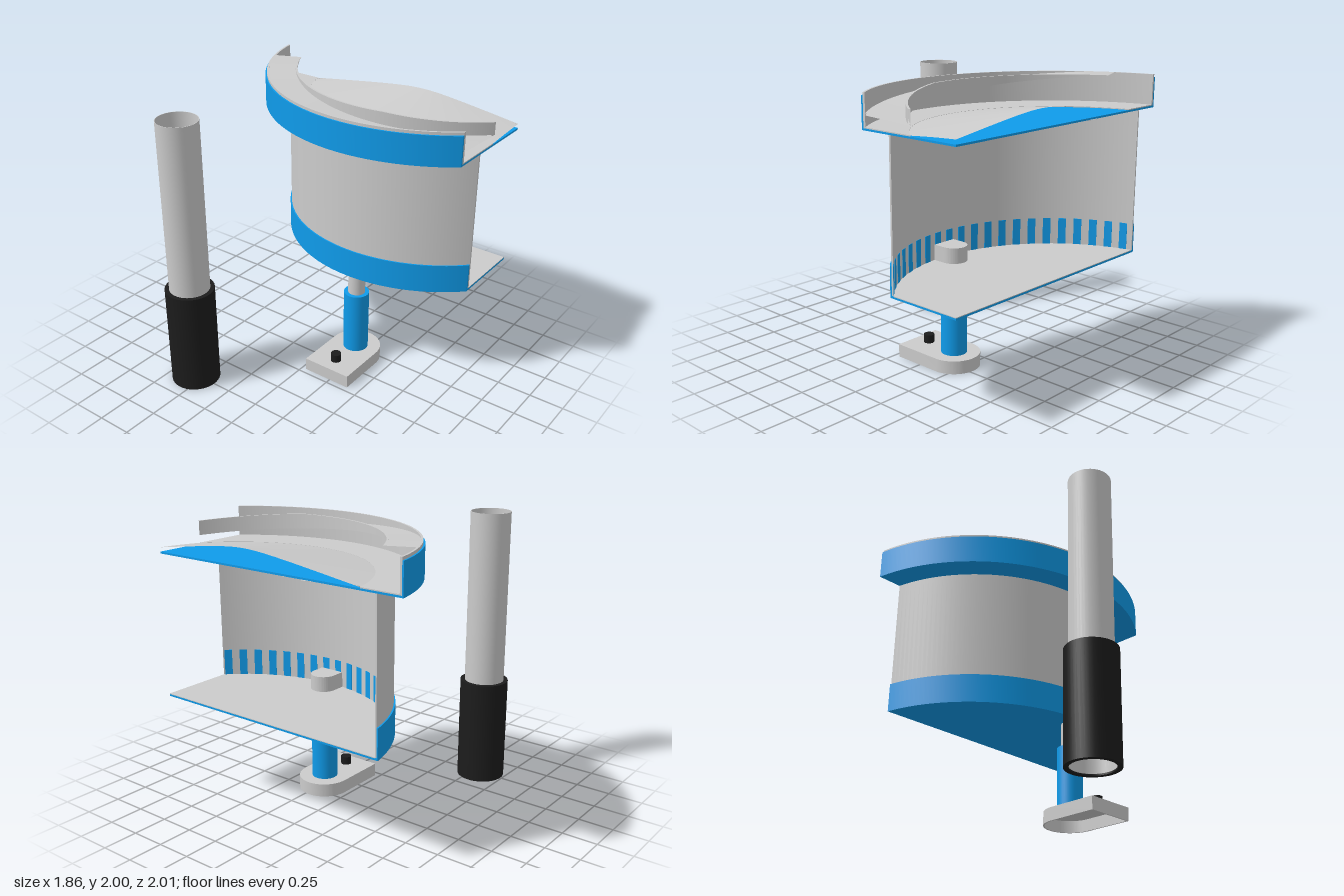
import * as THREE from 'three';
import { toCreasedNormals } from 'three/addons/utils/BufferGeometryUtils.js';
import { ParametricGeometry } from 'three/addons/geometries/ParametricGeometry.js';

// The tank is a round vessel about (CX, CZ), cut away by the planes x = XMAX, z = ZMAX, y = YMAX.
const CX = 1.12, CZ = 0.23, XMAX = 0.92, ZMAX = 1, YMAX = 2;
const DX = CX - XMAX, DZ = ZMAX - CZ, DEG = Math.PI / 180;

const paint = (color) => new THREE.MeshStandardMaterial({ color, side: THREE.DoubleSide });
const grey = paint(0xcccccc), blue = paint(0x0f9bea), black = paint(0x1c1c1c);

// Angles run from -x (0) towards -z (positive) and +z (negative).
const aMin = (r) => -Math.asin(Math.min(1, DZ / r));
const aMax = (r) => Math.acos(Math.min(1, DX / r));
const at = (r, a) => new THREE.Vector2(CX - r * Math.cos(a), -(CZ - r * Math.sin(a)));

function arc(r, a0 = aMin(r), a1 = aMax(r), n = 64) {
  return Array.from({ length: n + 1 }, (_, i) => at(r, a0 + (a1 - a0) * i / n));
}

export function createModel() {
  const model = new THREE.Group();

  const add = (name, geometry, material, parent = model) => {
    const mesh = new THREE.Mesh(geometry, material);
    mesh.name = name;
    parent.add(mesh);
    return mesh;
  };

  // Plan outline raised from y0 to y1
  const slab = (name, shape, y0, y1, material, parent) => {
    const g = new THREE.ExtrudeGeometry(shape, { depth: y1 - y0, bevelEnabled: false, curveSegments: 32 });
    g.rotateX(-Math.PI / 2).translate(0, y0, 0);
    return add(name, toCreasedNormals(g, 0.5), material, parent);
  };
  const ring = (rIn, rOut) => new THREE.Shape([...arc(rOut), ...arc(rIn).reverse()]);
  const disc = (r) => new THREE.Shape([...arc(r), new THREE.Vector2(XMAX, -ZMAX)]);

  // Surface given by radius and height over angle (u) and a second parameter (v)
  const surface = (name, a0, a1, radius, height, nv, parent) =>
    add(name, new ParametricGeometry((u, v, target) => {
      const a = a0 + (a1 - a0) * u, r = radius(a, v), p = at(r, a);
      target.set(p.x, height(a, r, v), -p.y);
    }, 96, nv), grey, parent);

  const cyl = (name, x, z, r, y0, y1, material) => {
    const mesh = add(name, new THREE.CylinderGeometry(r, r, y1 - y0, 40), material);
    mesh.position.set(x, (y0 + y1) / 2, z);
  };

  // Lower pan, tank wall and the blue stripes showing inside it
  const tank = new THREE.Group();
  tank.name = 'tank';
  model.add(tank);
  slab('panBottom', disc(1.08), 0.752, 0.765, blue, tank);
  slab('panFloor', disc(1.06), 0.765, 0.77, grey, tank);
  slab('panBand', ring(1.07, 1.08), 0.765, 0.96, blue, tank);
  slab('tankWall', ring(1.06, 1.07), 0.77, 1.77, grey, tank);
  for (let a = aMin(1.06) + 0.01; a < aMax(1.06) - 0.05; a += 6 * DEG) {
    const stripe = new THREE.Shape([...arc(1.061, a, a + 3 * DEG, 3), ...arc(1.057, a, a + 3 * DEG, 3).reverse()]);
    slab('panStripe', stripe, 0.77, 0.96, blue, tank);
  }

  // Lid plate, rim and flat channel bed
  const lid = new THREE.Group();
  lid.name = 'lid';
  model.add(lid);
  slab('lidPlate', disc(1.247), 1.77, 1.783, blue, lid);
  slab('rimBand', ring(1.236, 1.247), 1.783, 1.98, blue, lid);
  slab('rimWall', ring(1.222, 1.236), 1.783, YMAX, grey, lid);
  slab('channelBed', ring(0.95, 1.222), 1.783, 1.79, grey, lid);

  // Grey rays on the underside of the lid
  for (let i = 0; i < 12; i++) {
    const a = (-38 + i * 9.5) * DEG;
    const rIn = DX / Math.cos(a) + 0.01;
    const rOut = Math.min(1.0, a < 0 ? DZ / Math.sin(-a) - 0.08 : 1.0);
    const ray = new THREE.Shape([at(rIn, a), at(rOut, a), at(rOut, a + 4 * DEG), at(rIn + 0.03, a + 4 * DEG)]);
    slab('undersideRay', ray, 1.768, 1.7705, grey, lid);
  }

  // Hollow cone over the lid plate
  const coneR = 0.955;
  const edge = (a, r) => (a < 0 ? Math.min(r, DZ / Math.sin(-a)) : r);
  surface('cone', -Math.atan(DZ / DX), aMax(coneR),
    (a, v) => THREE.MathUtils.lerp(DX / Math.cos(a), edge(a, coneR), v),
    (a, r) => 1.788 + (coneR - r) * 0.15, 16, lid);

  // Spiral trough climbing until it is cut off at the top
  const start = -54 * DEG, floorEnd = 58 * DEG, baseEnd = 67.5 * DEG;
  const slope = 0.145 / (floorEnd - start);
  const floorY = (a) => 1.855 + slope * (a - start);
  const innerR = (a) => 0.982 + 0.0006 * a / DEG;
  const across = (a, v) => THREE.MathUtils.lerp(innerR(a), edge(a, 1.222), v);
  const thick = slope * (baseEnd - floorEnd);
  const trough = new THREE.Group();
  trough.name = 'spiralTrough';
  lid.add(trough);
  const cut = (y) => Math.min(YMAX, y);
  surface('troughFloor', start, baseEnd, across, (a) => cut(floorY(a)), 4, trough);
  surface('troughBase', start, baseEnd, across, (a) => cut(floorY(a) - thick), 4, trough);
  surface('troughEdge', start, baseEnd, innerR,
    (a, r, v) => cut(floorY(a) - thick * v), 1, trough);
  // Trough inner wall: two faces and a top edge
  const wall = 0.014;
  for (const offset of [0, wall]) {
    surface('troughInnerWall', start, floorEnd, (a) => innerR(a) + offset,
      (a, r, v) => cut(floorY(a) + 0.088 * v), 1, trough);
  }
  surface('troughWallTop', start, floorEnd, (a, v) => innerR(a) + wall * v,
    (a) => cut(floorY(a) + 0.088), 1, trough);

  // Free-standing open pipe in a black sleeve
  const pipe = (name, rIn, rOut, y0, y1, material) => {
    const profile = [[rIn, y0], [rOut, y0], [rOut, y1], [rIn, y1], [rIn, y0]].map(([r, y]) => new THREE.Vector2(r, y));
    add(name, toCreasedNormals(new THREE.LatheGeometry(profile, 40), 0.5), material).position.set(-0.75, 0, -0.565);
  };
  pipe('pipe', 0.139, 0.143, 0.01, YMAX, grey);
  pipe('pipeSleeve', 0.143, 0.174, 0, 0.755, black);

  // Support leg
  const LX = 0.16, LZ = 0.22;
  cyl('legSleeve', LX, LZ, 0.092, 0.09, 0.565, blue);
  cyl('legRod', LX, LZ, 0.062, 0.565, 0.755, grey);

  // Outline with a flat back at x0 and a round end around the leg
  const tongue = (x0, r) => {
    const s = new THREE.Shape();
    s.moveTo(x0, -LZ - r);
    s.lineTo(LX, -LZ - r);
    s.absarc(LX, -LZ, r, -Math.PI / 2, Math.PI / 2, false);
    s.lineTo(x0, -LZ + r);
    s.closePath();
    return s;
  };
  slab('legCap', tongue(0.065, 0.092), 0.77, 0.88, grey);

  // Foot, hollow underneath, with a knob on top
  const skirt = tongue(-0.21, 0.185);
  skirt.holes.push(tongue(-0.2, 0.175));
  slab('footSkirt', skirt, 0, 0.085, grey);
  slab('footTop', tongue(-0.21, 0.185), 0.085, 0.095, grey);
  cyl('footKnob', -0.09, LZ, 0.038, 0.095, 0.155, black);

  return model;
}
